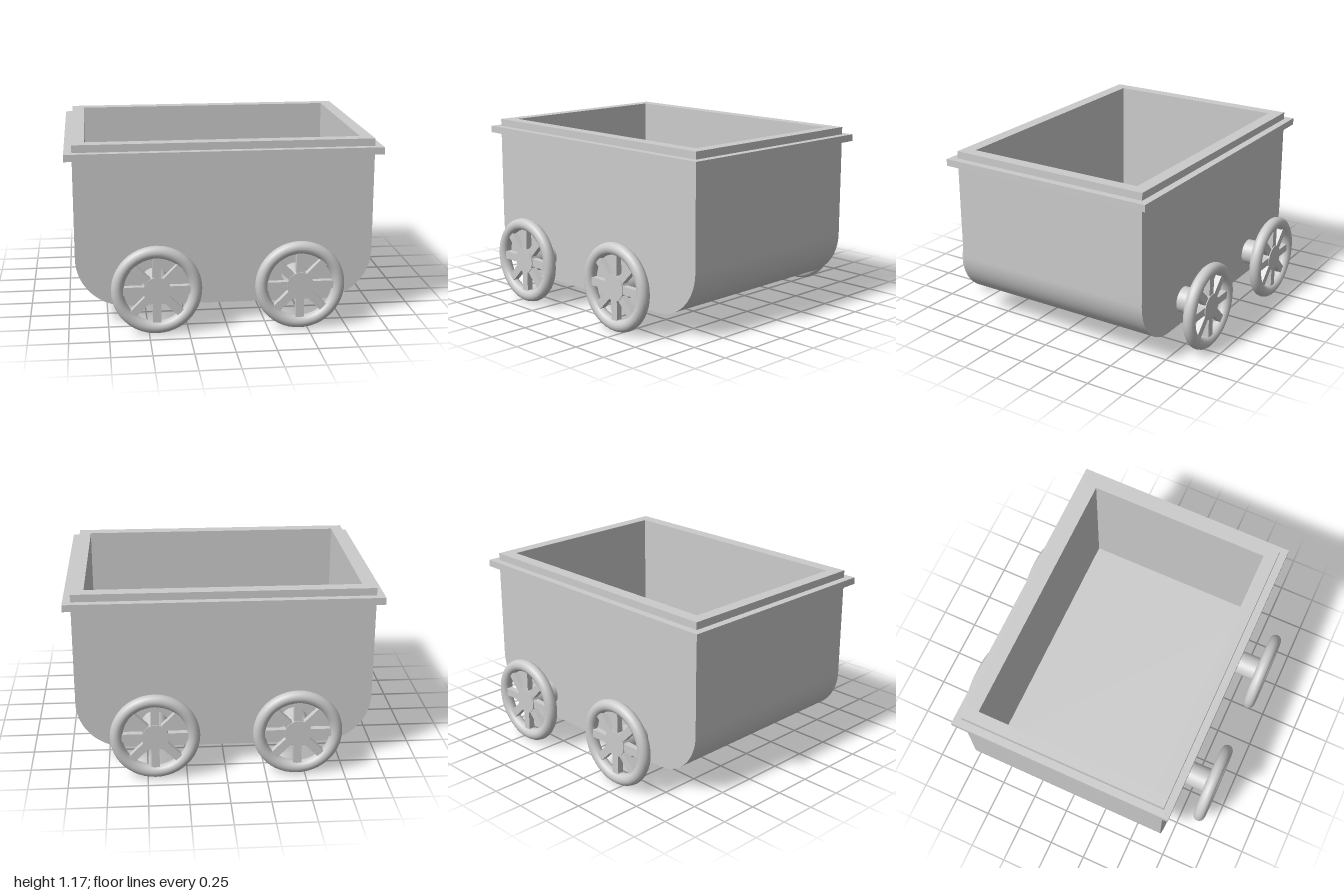
import * as THREE from 'three';
import { toCreasedNormals } from 'three/addons/utils/BufferGeometryUtils.js';

const W = 0.95, D = 0.695;           // half width and half depth of the tub
const IW = 0.87, ID = 0.61;          // half width and half depth of the cavity
const BOTTOM = 0.12, TOP = 1.17, FLOOR = 0.24, R = 0.32;
const WHEEL_Y = 0.284, WHEEL_X = 0.45, WHEEL_Z = 0.88;

const material = new THREE.MeshStandardMaterial({ color: 0xcccccc });

function add(parent, name, geometry, x = 0, y = 0, z = 0) {
  const mesh = new THREE.Mesh(geometry, material);
  mesh.name = name;
  mesh.position.set(x, y, z);
  parent.add(mesh);
  return mesh;
}

function rectangle(path, w, d) {
  path.moveTo(-w, -d);
  path.lineTo(w, -d);
  path.lineTo(w, d);
  path.lineTo(-w, d);
  path.closePath();
  return path;
}

// Open tub: U-shaped section with rounded lower corners, closed by two end walls
function createTub() {
  const tub = new THREE.Group();
  tub.name = 'tub';
  const u = new THREE.Shape();
  u.moveTo(-W, TOP);
  u.lineTo(-W, BOTTOM + R);
  u.absarc(-W + R, BOTTOM + R, R, Math.PI, Math.PI * 1.5, false);
  u.lineTo(W - R, BOTTOM);
  u.absarc(W - R, BOTTOM + R, R, Math.PI * 1.5, Math.PI * 2, false);
  u.lineTo(W, TOP);
  u.lineTo(IW, TOP);
  u.lineTo(IW, FLOOR);
  u.lineTo(-IW, FLOOR);
  u.lineTo(-IW, TOP);
  u.closePath();
  const shell = new THREE.ExtrudeGeometry(u, { depth: 2 * D, bevelEnabled: false, curveSegments: 16 });
  shell.translate(0, 0, -D);
  add(tub, 'tubShell', toCreasedNormals(shell, 0.5));

  const wall = new THREE.BoxGeometry(2 * IW, TOP - FLOOR, D - ID);
  for (const s of [1, -1]) {
    add(tub, s > 0 ? 'frontWall' : 'backWall', wall, 0, (TOP + FLOOR) / 2, s * (D + ID) / 2);
  }

  // Flange running round the outside, just below the top edge
  const frame = rectangle(new THREE.Shape(), 1, 0.745);
  frame.holes.push(rectangle(new THREE.Path(), W, D));
  const rim = new THREE.ExtrudeGeometry(frame, { depth: 0.045, bevelEnabled: false });
  rim.rotateX(-Math.PI / 2);
  add(tub, 'rim', rim, 0, 1.077, 0);
  return tub;
}

// Wheel facing +z with eight spokes and a thick axle stub reaching the tub
function createWheel() {
  const wheel = new THREE.Group();
  add(wheel, 'tyre', new THREE.TorusGeometry(0.244, 0.04, 16, 48));
  const hubFront = 0.025, hubBack = D - 0.03 - WHEEL_Z;
  const hub = new THREE.CylinderGeometry(0.085, 0.085, hubFront - hubBack, 32);
  hub.rotateX(Math.PI / 2);
  add(wheel, 'axleStub', hub, 0, 0, (hubFront + hubBack) / 2);
  const spoke = new THREE.BoxGeometry(0.16, 0.052, 0.04);
  spoke.translate(0.15, 0, 0);
  for (let i = 0; i < 8; i++) {
    add(wheel, 'spoke', spoke).rotation.z = i * Math.PI / 4;
  }
  return wheel;
}

export function createModel() {
  const model = new THREE.Group();
  model.name = 'mineCart';
  model.add(createTub());
  for (const sx of [1, -1]) {
    for (const sz of [1, -1]) {
      const wheel = createWheel();
      wheel.name = (sz > 0 ? 'front' : 'back') + (sx > 0 ? 'Left' : 'Right') + 'Wheel';
      wheel.position.set(sx * WHEEL_X, WHEEL_Y, sz * WHEEL_Z);
      if (sz < 0) wheel.rotation.y = Math.PI;
      model.add(wheel);
    }
  }
  return model;
}
